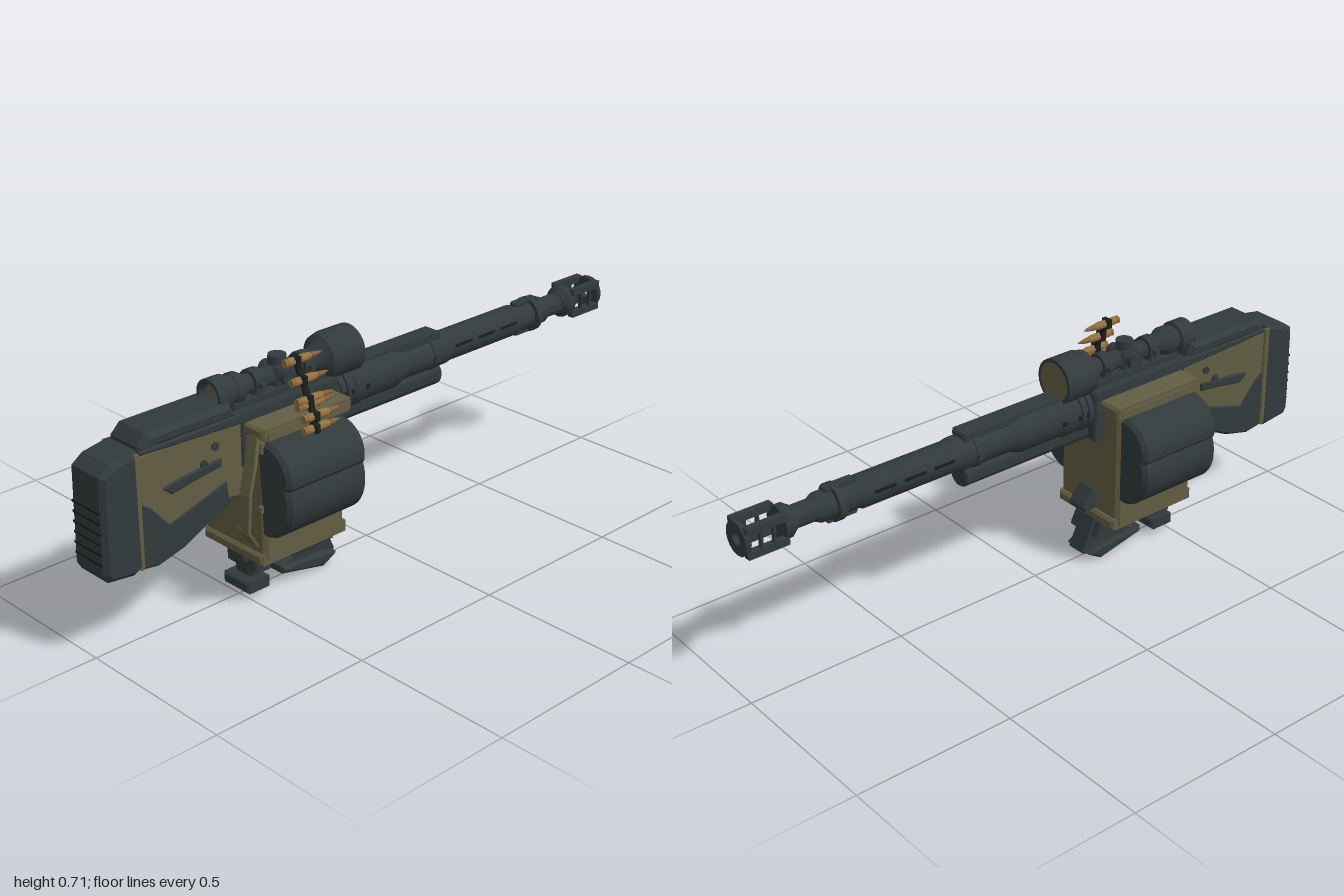
import * as THREE from 'three';
import { toCreasedNormals } from 'three/addons/utils/BufferGeometryUtils.js';

const paint = (name, color) => {
  const m = new THREE.MeshStandardMaterial({ color });
  m.name = name;
  return m;
};

export function createModel() {
  const dark = paint('gunmetal', 0x323a3c);
  const olive = paint('olive', 0x625e43);
  const black = paint('black', 0x1a1e1f);
  const brass = paint('brass', 0x94703f);
  const copper = paint('copper', 0x86603a);
  const root = new THREE.Group();

  const add = (name, geo, mat, x = 0, y = 0, z = 0) => {
    const m = new THREE.Mesh(geo, mat);
    m.name = name;
    m.position.set(x, y, z);
    root.add(m);
    return m;
  };
  const bevel = (shape, w, b, curveSegments = 12) => {
    const g = new THREE.ExtrudeGeometry(shape, {
      depth: w - 2 * b, bevelEnabled: b > 0, bevelThickness: b, bevelSize: b,
      bevelOffset: -b, bevelSegments: 1, curveSegments });
    g.translate(0, 0, b - w / 2);
    return g;
  };
  const poly = pts => new THREE.Shape(pts.map(p => new THREE.Vector2(...p)));
  // side profile given as [z, y], extruded across x
  const side = (pts, w, b = 0.008) => bevel(poly(pts), w, b).rotateY(-Math.PI / 2);
  // chamfered block
  const block = (w, h, d, b = 0.006) =>
    bevel(poly([[-w / 2, -h / 2], [w / 2, -h / 2], [w / 2, h / 2], [-w / 2, h / 2]]), d, b);
  // turned part along z, points [radius, z] from back (-z) to front
  const turned = (pts, n = 24) => toCreasedNormals(
    new THREE.LatheGeometry(pts.map(p => new THREE.Vector2(...p)), n).rotateX(Math.PI / 2), 0.6);
  const both = f => [-1, 1].forEach(f);

  // --- stock ---
  add('stock', side([[0.9, 0.575], [0.5, 0.575], [0.5, 0.33], [0.57, 0.345], [0.72, 0.27], [0.82, 0.25],
    [0.9, 0.26]], 0.125), olive);
  add('stockLowerShell', side([[0.89, 0.45], [0.84, 0.42], [0.78, 0.35], [0.58, 0.41], [0.57, 0.335],
    [0.73, 0.258], [0.82, 0.235], [0.89, 0.245]], 0.133), dark);
  add('stockTopRail', side([[0.87, 0.585], [0.5, 0.585], [0.5, 0.555], [0.87, 0.572]], 0.134, 0.004), dark);
  add('cheekRest', side([[0.87, 0.595], [0.84, 0.625], [0.56, 0.625], [0.54, 0.58], [0.87, 0.58]], 0.135, 0.014), dark);
  add('stockBrace', side([[0.8, 0.455], [0.76, 0.465], [0.6, 0.48], [0.6, 0.455], [0.68, 0.445], [0.77, 0.43]], 0.138, 0.004), dark);
  add('stockCollar', block(0.14, 0.335, 0.02, 0.004), olive, 0, 0.415, 0.88);
  add('buttPad', side([[0.995, 0.55], [0.96, 0.575], [0.875, 0.59], [0.87, 0.25], [0.9, 0.235], [0.985, 0.245], [1, 0.27]], 0.14, 0.014), dark);
  for (let i = 0; i < 6; i++)
    add('buttGroove', new THREE.BoxGeometry(0.116, 0.006, 0.006), black, 0, 0.3 + i * 0.03, 0.998);
  both(s => {
    for (let i = 0; i < 2; i++)
      add('stockScrew', new THREE.CylinderGeometry(0.012, 0.012, 0.008, 12).rotateZ(Math.PI / 2), dark, s * 0.064, 0.52 - i * 0.04, 0.62 + i * 0.04);
  });

  // --- receiver and ammunition box ---
  add('receiver', block(0.135, 0.16, 0.36), dark, 0, 0.505, 0.35);
  add('boxBody', block(0.26, 0.385, 0.3, 0.012), olive, 0, 0.345, 0.36);
  add('boxBase', block(0.25, 0.035, 0.325, 0.008), olive, 0, 0.156, 0.358);
  add('boxLid', block(0.285, 0.035, 0.33, 0.008), olive, 0, 0.54, 0.355);
  both(s => {
    add('lidClip', block(0.024, 0.024, 0.3, 0.004), olive, s * 0.135, 0.534, 0.355);
    add('boxCornerPlate', block(0.05, 0.035, 0.02, 0.005), olive, s * 0.108, 0.5, 0.51);
    add('boxLatch', block(0.012, 0.02, 0.02, 0.003), olive, s * 0.122, 0.315, 0.51);
  });

  // side drums with two lobes
  const lobes = new THREE.Shape();
  lobes.moveTo(0.1, 0.225);
  lobes.absarc(0.115, 0.348, 0.12, -Math.PI / 2, 0.43, false);
  lobes.absarc(0.135, 0.418, 0.098, -0.1, Math.PI / 2, false);
  lobes.lineTo(0.1, 0.505);
  const drumGeo = toCreasedNormals(bevel(lobes, 0.29, 0.012, 20), 0.5);
  add('drumLeft', drumGeo, dark, 0, 0, 0.365);
  add('drumRight', drumGeo.clone().rotateZ(Math.PI).rotateX(Math.PI), dark, 0, 0, 0.365);

  // bent strap hanging in front of the box
  const strap = [[0.1, 0.53, 0.515], [0.115, 0.46, 0.54], [0.125, 0.38, 0.57], [0.122, 0.27, 0.575], [0.105, 0.215, 0.535]];
  for (let i = 0; i < strap.length - 1; i++) {
    const a = new THREE.Vector3(...strap[i]), b = new THREE.Vector3(...strap[i + 1]);
    const m = add('strapPlate', block(0.045, a.distanceTo(b) + 0.012, 0.012, 0.003), olive);
    m.position.copy(a).add(b).multiplyScalar(0.5);
    m.quaternion.setFromUnitVectors(new THREE.Vector3(0, 1, 0), a.sub(b).normalize());
  }

  // --- lower mount ---
  add('mountPlate', block(0.07, 0.03, 0.3), dark, 0, 0.13, 0.36);
  add('frontLeg', side([[0.5, 0.14], [0.42, 0.14], [0.435, 0.06], [0.43, 0.025], [0.51, 0.025], [0.51, 0.05], [0.485, 0.06]], 0.065), dark);
  add('frontFoot', block(0.108, 0.035, 0.085), dark, 0, 0.037, 0.47);
  add('frontLegCollar', block(0.128, 0.045, 0.06), dark, 0, 0.103, 0.46);
  add('rearLeg', side([[0.36, 0.14], [0.21, 0.14], [0.16, 0.03], [0.22, 0.002], [0.37, 0.035], [0.37, 0.055], [0.33, 0.07]], 0.075), dark);
  add('rearFoot', side([[0.38, 0.055], [0.2, 0.045], [0.17, 0.03], [0.22, 0], [0.38, 0.035]], 0.112), dark);
  add('rearLegCollar', side([[0.34, 0.13], [0.21, 0.13], [0.19, 0.085], [0.34, 0.085]], 0.128, 0.006), dark);
  add('boxHook', side([[0.22, 0.24], [0.2, 0.24], [0.16, 0.19], [0.165, 0.175], [0.22, 0.175]], 0.07, 0.004), dark);

  // --- barrel ---
  const by = 0.525;
  add('barrelShroud', turned([[0, -0.2], [0.05, -0.2], [0.052, -0.12], [0.065, -0.08], [0.065, 0.06], [0.069, 0.07],
    [0.069, 0.1], [0.065, 0.105], [0.065, 0.2], [0, 0.2]]), dark, 0, by);
  for (let i = 0; i < 3; i++)
    add('shroudRib', turned([[0.06, -0.008], [0.07, -0.006], [0.07, 0.006], [0.06, 0.008]]), dark, 0, by, 0.13 + i * 0.025);
  add('shroudTopRail', block(0.06, 0.035, 0.48), dark, 0, 0.573, -0.04);
  add('lowerTube', turned([[0, -0.28], [0.034, -0.28], [0.038, -0.275], [0.038, 0.21], [0, 0.21]]), dark, 0, 0.454);
  add('barrel', turned([[0, -0.86], [0.033, -0.86], [0.033, -0.77], [0.043, -0.75], [0.043, -0.63], [0.048, -0.62],
    [0.048, -0.32], [0.052, -0.3], [0.052, -0.15], [0, -0.15]]), dark, 0, by);
  [-0.24, -0.7].forEach(z => {
    add('barrelBand', turned([[0.04, -0.012], [0.055, -0.01], [0.055, 0.01], [0.04, 0.012]]), dark, 0, by, z);
    both(s => {
      add('bandBolt', new THREE.CylinderGeometry(0.012, 0.012, 0.012, 10).rotateZ(Math.PI / 2), dark, s * 0.054, by, z);
      add('bandLug', block(0.028, 0.016, 0.1, 0.004), dark, 0, by + s * 0.045, z + 0.02);
    });
  });
  both(s => {
    for (let i = 0; i < 4; i++)
      add('shroudVent', new THREE.BoxGeometry(0.006, 0.014, 0.018), black, s * 0.064, by, 0.06 + i * 0.03);
    for (let i = 0; i < 3; i++)
      add('barrelGroove', new THREE.BoxGeometry(0.006, 0.008, 0.07), black, s * 0.0465, by + 0.01, -0.36 - i * 0.1);
  });

  // slotted muzzle
  add('muzzleCollar', turned([[0, -0.875], [0.05, -0.875], [0.05, -0.85], [0.036, -0.83], [0, -0.83]], 16), dark, 0, by);
  const ring = new THREE.Shape().absarc(0, 0, 0.051, 0, Math.PI * 2);
  ring.holes.push(new THREE.Path().absarc(0, 0, 0.018, 0, Math.PI * 2, true));
  add('muzzleRing', bevel(ring, 0.018, 0.002, 8), dark, 0, by, -0.991);
  both(sx => {
    both(sy => add('muzzleBar', block(0.02, 0.022, 0.13, 0.003), dark, sx * 0.037, by + sy * 0.036, -0.93));
    [-0.91, -0.95].forEach(z => add('muzzleCrossbar', block(0.014, 0.07, 0.009, 0.002), dark, sx * 0.041, by, z));
  });

  // --- scope ---
  const sy = 0.632;
  add('scopeBase', block(0.08, 0.03, 0.34), dark, 0, 0.588, 0.36);
  add('scopeTube', turned([[0.045, 0.08], [0.06, 0.07], [0.07, 0.07], [0.07, 0.16], [0.064, 0.185], [0.042, 0.2], [0.028, 0.23],
    [0.028, 0.46], [0.045, 0.49], [0.045, 0.51], [0.041, 0.515], [0.041, 0.53], [0.05, 0.535], [0.05, 0.585],
    [0.04, 0.585], [0.036, 0.56]]), dark, 0, sy);
  add('rearLens', new THREE.CircleGeometry(0.06, 24).rotateY(Math.PI), olive, 0, sy, 0.069);
  add('eyeLens', new THREE.CircleGeometry(0.037, 24), olive, 0, sy, 0.56);
  [0.25, 0.43].forEach(z => {
    add('scopeClamp', turned([[0.026, -0.018], [0.038, -0.016], [0.038, 0.016], [0.026, 0.018]], 12), dark, 0, sy, z);
    add('scopeFoot', block(0.07, 0.045, 0.035), dark, 0, 0.605, z);
    both(s => add('clampBolt', block(0.018, 0.016, 0.02, 0.003), dark, s * 0.042, sy, z));
  });
  add('turretHousing', block(0.066, 0.06, 0.07, 0.01), dark, 0, sy, 0.34);
  add('topTurret', new THREE.CylinderGeometry(0.026, 0.028, 0.03, 16), dark, 0, 0.672, 0.34);
  both(s => add('sideTurret', new THREE.CylinderGeometry(0.024, 0.024, 0.024, 16).rotateZ(Math.PI / 2), dark, s * 0.043, sy, 0.34));

  // --- cartridge belt ---
  const caseGeo = turned([[0.006, -0.035], [0.009, -0.03], [0.012, -0.015], [0.012, 0.05], [0.009, 0.054], [0.012, 0.058],
    [0.012, 0.062], [0, 0.062]], 10);
  const tipGeo = turned([[0, -0.075], [0.005, -0.06], [0.009, -0.033], [0, -0.033]], 10);
  const belt = [[0.095, 0.7], [0.12, 0.65], [0.143, 0.6], [0.145, 0.586], [0.168, 0.56], [0.168, 0.524]];
  belt.forEach(([x, y], i) => {
    add('cartridgeCase', caseGeo, brass, x, y, 0.335);
    add('bulletTip', tipGeo, copper, x, y, 0.335);
    add('beltLink', block(0.029, 0.027, 0.024, 0.005), black, x, y, 0.355);
    if (i < belt.length - 1) {
      const [u, v] = belt[i + 1];
      const m = add('beltJoint', block(0.012, Math.hypot(u - x, v - y), 0.02, 0.003), black, (x + u) / 2, (y + v) / 2, 0.355);
      m.rotation.z = Math.atan2(x - u, v - y) + Math.PI;
    }
  });

  return root;
}
